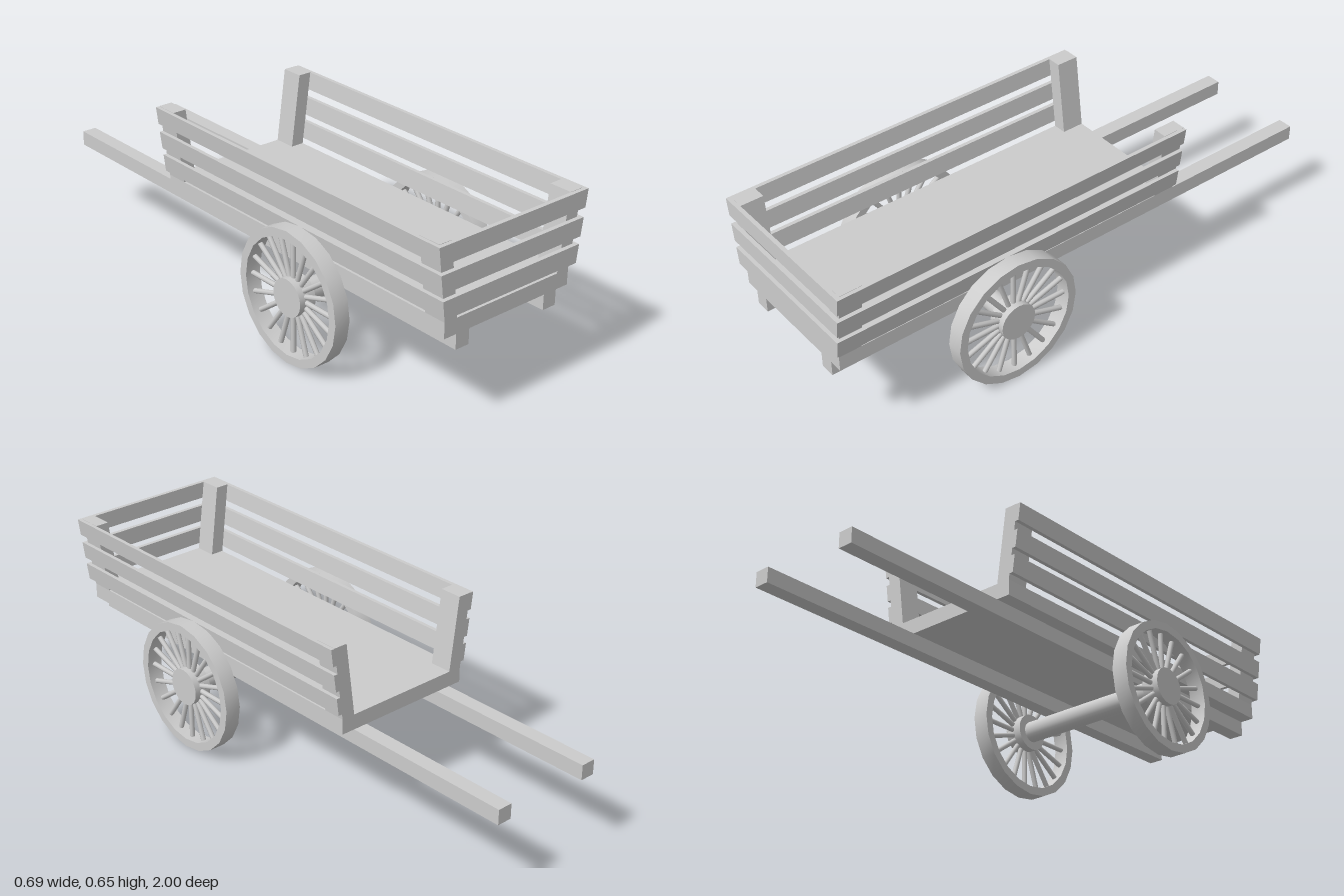
import * as THREE from 'three';
import { toCreasedNormals } from 'three/addons/utils/BufferGeometryUtils.js';

const material = new THREE.MeshStandardMaterial({ color: 0xcccccc });

const BACK = -0.37, FRONT = 0.985, FACE = 1.0;
const BED_TOP = 0.39, TOP = 0.655;
const SLATS = [[0.41, 0.473], [0.498, 0.561], [0.592, 0.654]];
const WHEEL = { r: 0.237, inner: 0.207, x: 0.316, z: 0.36, width: 0.058 };

// Outer face of the leaning posts at height y
const lean = (y) => 0.265 + 0.132 * (y - BED_TOP);

function add(parent, name, geometry, x = 0, y = 0, z = 0) {
  const mesh = new THREE.Mesh(geometry, material);
  mesh.name = name;
  mesh.position.set(x, y, z);
  parent.add(mesh);
  return mesh;
}

// Straight prism with an xy cross-section running from z0 to z1
function prism(points, z0, z1) {
  const shape = new THREE.Shape(points.map(([x, y]) => new THREE.Vector2(x, y)));
  return new THREE.ExtrudeGeometry(shape, { depth: z1 - z0, bevelEnabled: false }).translate(0, 0, z0);
}

// Leaning bar between two heights, with inner and outer offsets from the lean line
function leaningBar(side, y0, y1, inner, outer, z0, z1) {
  return prism([
    [side * (lean(y0) + inner), y0], [side * (lean(y0) + outer), y0],
    [side * (lean(y1) + outer), y1], [side * (lean(y1) + inner), y1],
  ], z0, z1);
}

function createWheel(side) {
  const wheel = new THREE.Group();
  wheel.name = side > 0 ? 'leftWheel' : 'rightWheel';
  const { r, inner, width } = WHEEL, w = width / 2;

  // Rim
  const profile = [[inner, -w], [r, -w], [r, w], [inner, w], [inner, -w]]
    .map(([x, y]) => new THREE.Vector2(x, y));
  const rim = toCreasedNormals(new THREE.LatheGeometry(profile, 20), 0.6);
  add(wheel, 'rim', rim.rotateZ(Math.PI / 2));

  // Hub, standing slightly proud on the inner side
  add(wheel, 'hub', new THREE.CylinderGeometry(0.067, 0.067, 0.064, 20).rotateZ(Math.PI / 2), -side * 0.004);

  // Spokes
  const count = 20, from = 0.06, to = inner + 0.005;
  const spoke = new THREE.CylinderGeometry(0.009, 0.009, to - from, 8).translate(0, (from + to) / 2, 0);
  for (let i = 0; i < count; i++) {
    add(wheel, 'spoke', spoke).rotation.x = (i / count) * Math.PI * 2;
  }
  wheel.position.set(side * WHEEL.x, r, WHEEL.z);
  return wheel;
}

export function createModel() {
  const cart = new THREE.Group();
  cart.name = 'handCart';

  // Bed
  const length = FRONT - BACK;
  add(cart, 'bed', new THREE.BoxGeometry(0.53, 0.055, length), 0, 0.3625, (FRONT + BACK) / 2);

  for (const side of [-1, 1]) {
    // Long handle beam under the bed
    add(cart, 'handleBeam', new THREE.BoxGeometry(0.054, 0.054, FRONT + 1), side * 0.188, 0.308, (FRONT - 1) / 2);

    // Corner posts
    for (const z of [BACK, FRONT - 0.082]) {
      add(cart, 'cornerPost', leaningBar(side, BED_TOP, TOP, -0.05, 0, z, z + 0.082));
    }

    // Side slats
    for (const [y0, y1] of SLATS) {
      add(cart, 'sideSlat', leaningBar(side, y0, y1, 0, 0.014, BACK, FRONT));
    }
    cart.add(createWheel(side));
  }

  // Front slats, widening with the lean of the sides
  for (const [y0, y1] of SLATS) {
    const a = lean(y0) + 0.014, b = lean(y1) + 0.014;
    add(cart, 'frontSlat', prism([[-a, y0], [a, y0], [b, y1], [-b, y1]], FRONT, FACE));
  }

  // Axle
  add(cart, 'axle', new THREE.CylinderGeometry(0.038, 0.038, 0.58, 20).rotateZ(Math.PI / 2), 0, WHEEL.r, WHEEL.z);

  return cart;
}
